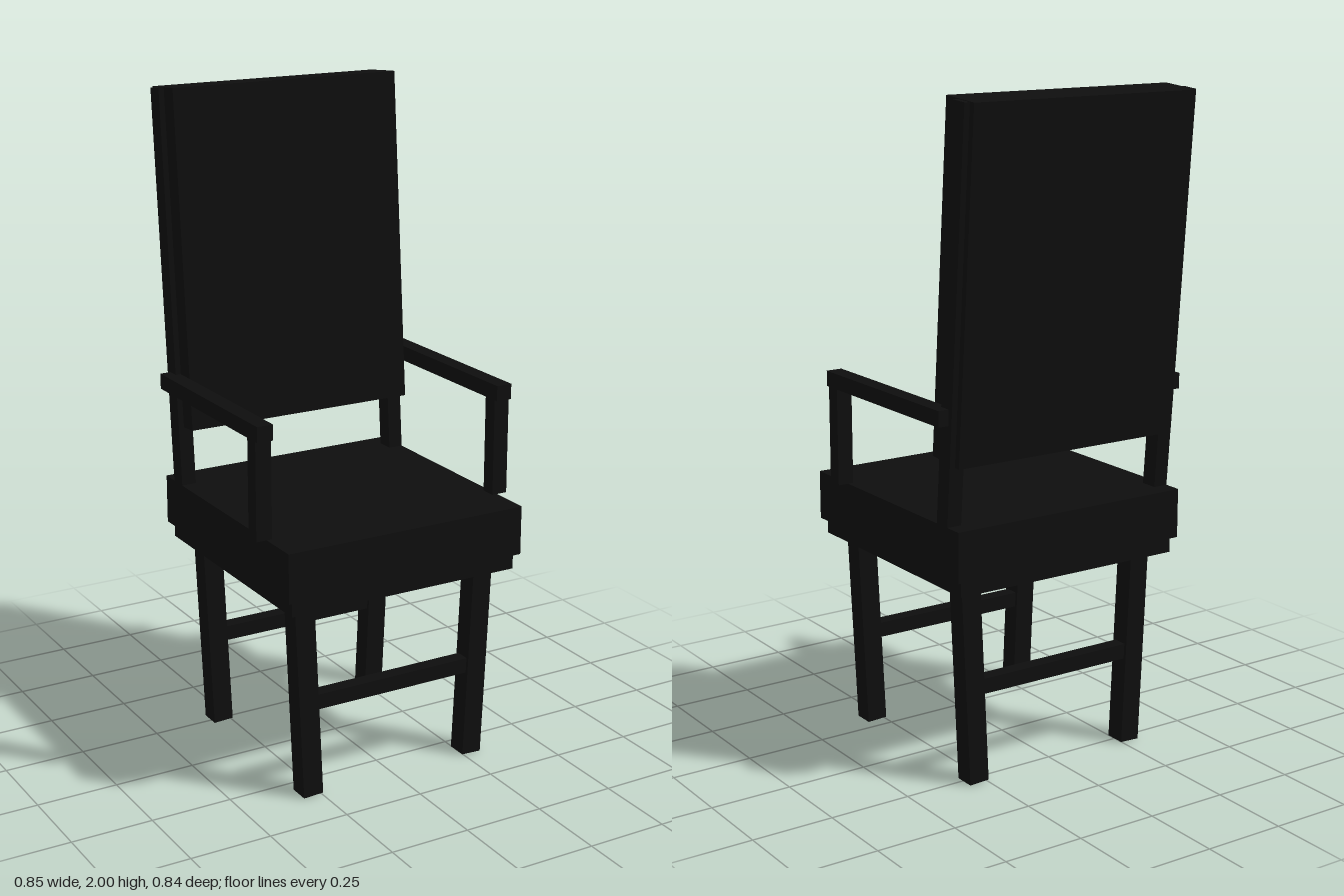
import * as THREE from 'three';

export function createModel() {
  const chair = new THREE.Group();
  chair.name = 'armchair';
  const black = new THREE.MeshStandardMaterial({ color: 0x0e0e0e });
  black.name = 'black';

  const box = (name, size, pos, rx = 0, rz = 0) => {
    const mesh = new THREE.Mesh(new THREE.BoxGeometry(...size), black);
    mesh.name = name;
    mesh.position.set(...pos);
    mesh.rotation.set(rx, 0, rz);
    chair.add(mesh);
  };

  // Seat cushion over a slightly smaller frame
  box('seat', [0.784, 0.15, 0.78], [0, 0.729, 0.031]);
  box('seatFrame', [0.75, 0.048, 0.753], [0, 0.631, 0.031]);

  // Leaning back panel
  const lean = -0.081;
  box('backPanel', [0.75, 1.016, 0.135], [0, 1.489, -0.312], lean);

  for (const [side, s] of [['left', 1], ['right', -1]]) {
    // Back posts, parallel to the panel
    box(side + 'BackPost', [0.046, 1.22, 0.055], [s * 0.369, 1.384, -0.323], lean);
    // Armrest and its front support
    box(side + 'Armrest', [0.05, 0.047, 0.618], [s * 0.4, 1.123, -0.004]);
    box(side + 'ArmSupport', [0.05, 0.3, 0.047], [s * 0.4, 0.954, 0.27]);
  }

  for (const [end, z] of [['front', 0.322], ['back', -0.258]]) {
    // Legs spread outwards towards the seat
    for (const s of [1, -1]) {
      box(end + 'Leg', [0.064, 0.612, 0.064], [s * 0.291, 0.308, z], 0, s * -0.045);
    }
    box(end + 'Stretcher', [0.55, 0.047, 0.045], [0, 0.294, z]);
  }
  return chair;
}
